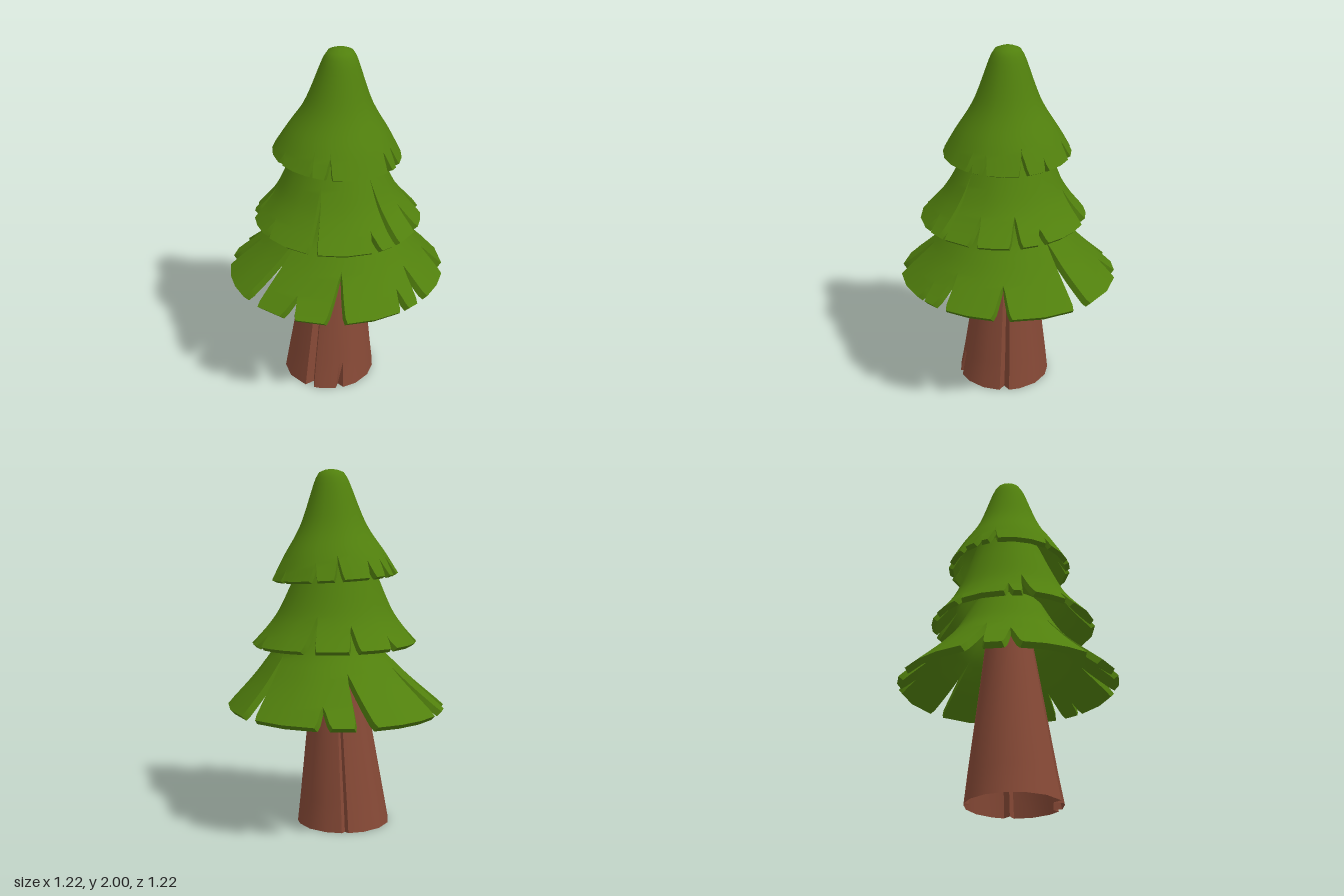
import * as THREE from 'three';
import { toCreasedNormals } from 'three/addons/utils/BufferGeometryUtils.js';

const RAD = Math.PI / 180;
const needles = new THREE.MeshStandardMaterial({ color: 0x51800d });
needles.name = 'needleGreen';
// The trunk is an open shell
const bark = new THREE.MeshStandardMaterial({ color: 0x864936, side: THREE.DoubleSide });
bark.name = 'barkBrown';

// Collects quads into a geometry with creased normals
function quadBuilder() {
  const pos = [];
  return {
    quad(a, b, c, d) { for (const p of [a, b, c, a, c, d]) pos.push(p.x, p.y, p.z); },
    build(crease) {
      const g = new THREE.BufferGeometry();
      g.setAttribute('position', new THREE.Float32BufferAttribute(pos, 3));
      return toCreasedNormals(g, crease * RAD);
    },
  };
}

// Thick skirt of branches. notches: [angle, half width, depth along the slope], by rising angle
function skirt(name, { profile, notches, topCentre, rimCentre, tilt, thickness }) {
  const curve = new THREE.SplineCurve(profile.map(([r, y]) => new THREE.Vector2(r, y)));
  const ROWS = 20;
  const rows = [];
  for (let j = 0; j <= ROWS; j++) {
    const t = j / ROWS, p = curve.getPointAt(t), d = curve.getTangentAt(t);
    rows.push({ t, p, n: new THREE.Vector2(-d.y, d.x) });
  }
  const point = (row, angle, depth) => {
    const r = Math.max(0, row.p.x - row.n.x * depth);
    const cx = THREE.MathUtils.lerp(topCentre[0], rimCentre[0], row.t);
    const cz = THREE.MathUtils.lerp(topCentre[1], rimCentre[1], row.t);
    const x = cx + r * Math.cos(angle * RAD), z = cz + r * Math.sin(angle * RAD);
    return new THREE.Vector3(x, row.p.y - row.n.y * depth + (tilt[0] * x + tilt[1] * z) * row.t, z);
  };
  const gap = (notch, t) => notch[1] * Math.max(0, 1 - (1 - t) / notch[2]);
  // Edge of a notch: bevelled on the outer side, with the flap corners cut off at the rim
  const edge = (notch, t, bevel) => {
    const g = gap(notch, t);
    return g > 0 ? g + Math.min(g, bevel) + (t === 1 ? 0.7 : 0) : 0;
  };

  const q = quadBuilder();
  notches.forEach((left, i) => {
    const last = i === notches.length - 1;
    const right = notches[(i + 1) % notches.length];
    const end = right[0] + (last ? 360 : 0);
    const cols = Math.max(1, Math.round((end - left[0]) / 18));
    const layer = (depth, bevel) => rows.map(row => {
      const a0 = left[0] + edge(left, row.t, bevel), a1 = end - edge(right, row.t, bevel);
      return Array.from({ length: cols + 1 }, (_, k) =>
        point(row, THREE.MathUtils.lerp(a0, a1, k / cols), depth));
    });
    const out = layer(0, 0.8), inn = layer(thickness, -0.5);
    for (let j = 0; j < ROWS; j++) {
      for (let k = 0; k < cols; k++) {
        q.quad(out[j][k], out[j][k + 1], out[j + 1][k + 1], out[j + 1][k]);
        q.quad(inn[j][k], inn[j + 1][k], inn[j + 1][k + 1], inn[j][k + 1]);
      }
      // Cut faces of the notches
      const t = rows[j + 1].t;
      if (gap(left, t) > 0) q.quad(out[j][0], out[j + 1][0], inn[j + 1][0], inn[j][0]);
      if (gap(right, t) > 0) q.quad(out[j][cols], inn[j][cols], inn[j + 1][cols], out[j + 1][cols]);
    }
    // Rim
    for (let k = 0; k < cols; k++) {
      q.quad(out[ROWS][k], out[ROWS][k + 1], inn[ROWS][k + 1], inn[ROWS][k]);
    }
  });
  const mesh = new THREE.Mesh(q.build(42), needles);
  mesh.name = name;
  return mesh;
}

// Leaning tapered trunk with grooves: [angle, half width, cut, height the groove reaches]
function trunk() {
  const grooves = [[-46, 6, 0.18, 2], [29, 5, 0.16, 0.16], [68, 6, 0.2, 2], [222, 4, 0.1, 2]];
  const stations = [];
  for (let a = -90; a < 270; a += 24) {
    if (!grooves.some(g => Math.abs(g[0] - a) < g[1] + 5)) stations.push({ a });
  }
  for (const g of grooves) {
    stations.push({ a: g[0] - g[1] }, { a: g[0], g }, { a: g[0] + g[1] });
  }
  stations.sort((s, t) => s.a - t.a);

  // Rows: height, radius, centre x, centre z
  const rows = [[1.1, 0.11, 0, 0], [0.66, 0.17, -0.003, 0.018], [0.16, 0.24, -0.011, 0.04], [0, 0.263, -0.011, 0.048]];
  const rings = rows.map(([y, r, cx, cz]) => stations.map(({ a, g }) => {
    const cut = g ? g[2] * THREE.MathUtils.clamp((g[3] - y) / 0.16, 0, 1) : 0;
    const s = r * (1 - cut);
    return new THREE.Vector3(cx + s * Math.cos(a * RAD), y, cz + s * Math.sin(a * RAD));
  }));
  const q = quadBuilder(), n = stations.length;
  for (let k = 0; k < n; k++) {
    const m = (k + 1) % n;
    for (let j = 0; j < rows.length - 1; j++) {
      q.quad(rings[j][k], rings[j][m], rings[j + 1][m], rings[j + 1][k]);
    }
  }
  const mesh = new THREE.Mesh(q.build(30), bark);
  mesh.name = 'trunk';
  return mesh;
}

export function createModel() {
  const tree = new THREE.Group();
  tree.name = 'pineTree';
  tree.add(trunk());
  tree.add(skirt('lowerBranches', {
    profile: [[0.2, 1.2], [0.295, 1.02], [0.375, 0.92], [0.463, 0.825], [0.61, 0.685]],
    notches: [[-86, 4.5, 0.65], [-42, 4, 0.3], [-8, 3, 0.35], [5.5, 1.7, 0.2], [43, 4.5, 0.42], [68, 3, 0.18],
      [93, 4.5, 0.7], [138, 3.5, 0.35], [157, 4.5, 0.5], [209, 4.5, 0.5], [230, 3, 0.2]],
    topCentre: [0.05, -0.05], rimCentre: [0, 0], tilt: [0.015, 0], thickness: 0.035,
  }));
  tree.add(skirt('middleBranches', {
    profile: [[0.19, 1.52], [0.238, 1.4], [0.315, 1.23], [0.378, 1.135], [0.462, 1.04]],
    notches: [[-73, 2.5, 0.15], [-54, 3.5, 0.3], [-25, 2.5, 0.3], [0, 2, 0.65], [16, 2.5, 0.17], [60, 3, 0.65],
      [99, 2.5, 0.17], [130, 3.5, 0.4], [143, 2, 0.2], [180, 1.5, 0.12], [210, 3, 0.3], [241, 4, 0.4]],
    topCentre: [-0.005, 0], rimCentre: [0.027, 0.013], tilt: [-0.015, 0], thickness: 0.03,
  }));
  tree.add(skirt('upperBranches', {
    profile: [[0, 2], [0.052, 1.988], [0.09, 1.945], [0.182, 1.7], [0.285, 1.53], [0.352, 1.41]],
    notches: [[-82, 1.2, 0.08], [-60, 3.5, 0.16], [-24, 2.5, 0.15], [-10, 2.5, 0.15], [50, 2.5, 0.16], [67, 1.5, 0.18],
      [101, 2, 0.09], [155, 3.5, 0.16], [170, 2.5, 0.13], [188, 2.5, 0.13], [220, 3.5, 0.18], [243, 2.5, 0.15]],
    topCentre: [0.02, -0.018], rimCentre: [0.008, 0], tilt: [-0.045, 0.035], thickness: 0.028,
  }));
  return tree;
}
